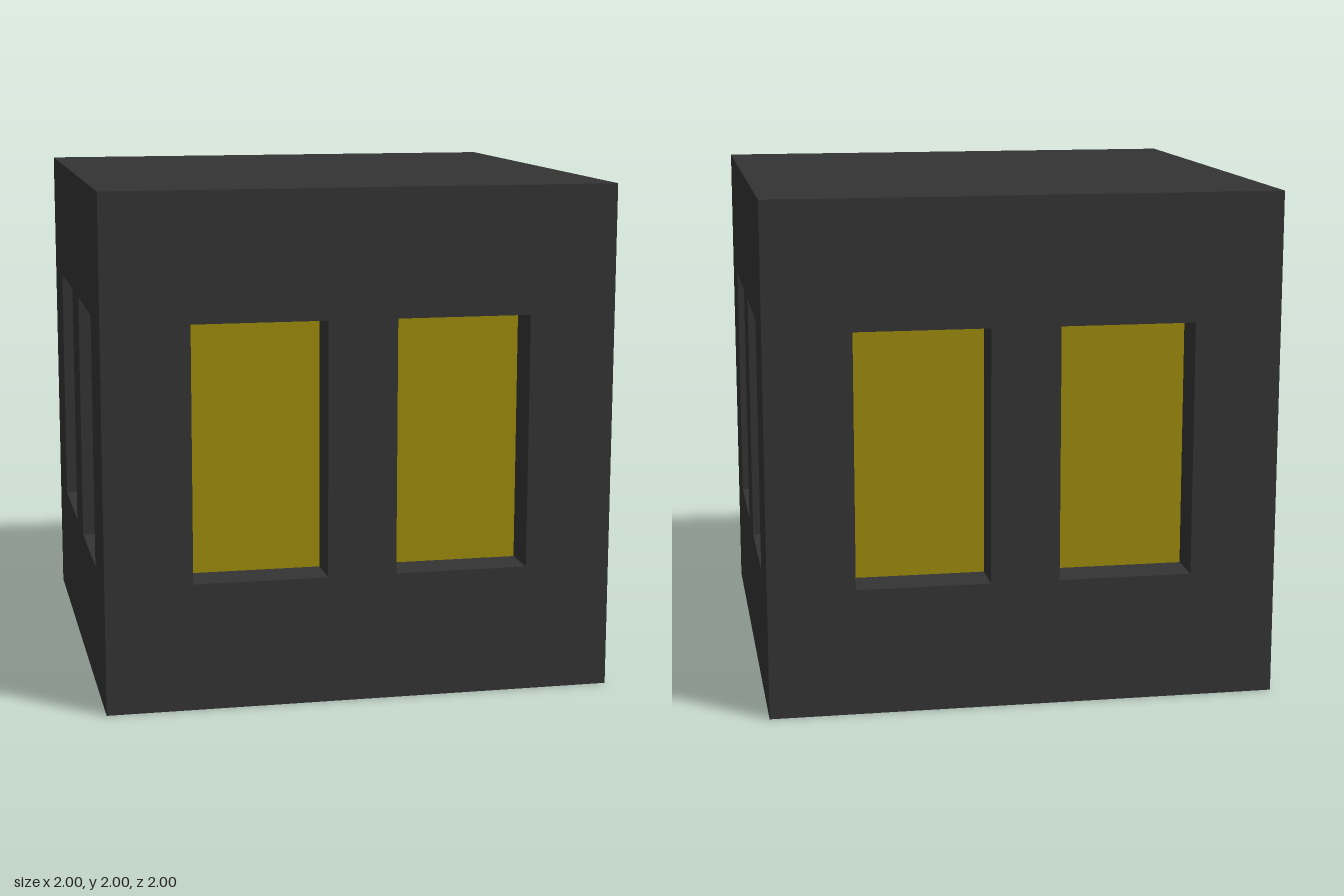
import * as THREE from 'three';

const DEPTH = 0.165;                    // window recess
const WIN_W = 0.525, WIN_H = 1.0, WIN_X = 0.398;

const dark = new THREE.MeshStandardMaterial({ color: 0x343434 });
const yellow = new THREE.MeshStandardMaterial({ color: 0xa08c0d });

function add(parent, name, geometry, material, x = 0, y = 0, z = 0) {
  const mesh = new THREE.Mesh(geometry, material);
  mesh.name = name;
  mesh.position.set(x, y, z);
  parent.add(mesh);
  return mesh;
}

function rectangle(PathType, x, y, w, h) {
  return new PathType([[-1, -1], [1, -1], [1, 1], [-1, 1]].map(
    ([sx, sy]) => new THREE.Vector2(x + sx * w / 2, y + sy * h / 2)));
}

// Four inward-facing sides of a box, open at front and back
function revealGeometry() {
  const box = new THREE.BoxGeometry(WIN_W, WIN_H, DEPTH);
  box.setIndex(Array.from(box.index.array).slice(0, 24).reverse());
  const reveal = box.toNonIndexed();
  reveal.clearGroups();
  reveal.computeVertexNormals();
  return reveal;
}

export function createModel() {
  const model = new THREE.Group();
  model.name = 'windowedCube';

  // Wall outline with two window openings
  const outline = rectangle(THREE.Shape, 0, 0, 2, 2);
  for (const s of [-1, 1]) outline.holes.push(rectangle(THREE.Path, s * WIN_X, 0, WIN_W, WIN_H));
  const wallGeometry = new THREE.ShapeGeometry(outline);
  const reveal = revealGeometry();
  const paneGeometry = new THREE.PlaneGeometry(WIN_W, WIN_H);

  // Four identical sides, each with two recessed windows
  ['front', 'left', 'back', 'right'].forEach((side, i) => {
    const group = new THREE.Group();
    group.name = side + 'Side';
    group.position.y = 1;
    group.rotation.y = i * Math.PI / 2;
    add(group, 'wall', wallGeometry, dark, 0, 0, 1);
    for (const s of [-1, 1]) {
      add(group, 'windowReveal', reveal, dark, s * WIN_X, 0, 1 - DEPTH / 2);
      add(group, 'windowPane', paneGeometry, yellow, s * WIN_X, 0, 1 - DEPTH);
    }
    model.add(group);
  });

  // Roof and floor
  const slab = new THREE.PlaneGeometry(2, 2);
  add(model, 'roof', slab, dark, 0, 2, 0).rotation.x = -Math.PI / 2;
  add(model, 'floor', slab, dark, 0, 0, 0).rotation.x = Math.PI / 2;
  return model;
}
